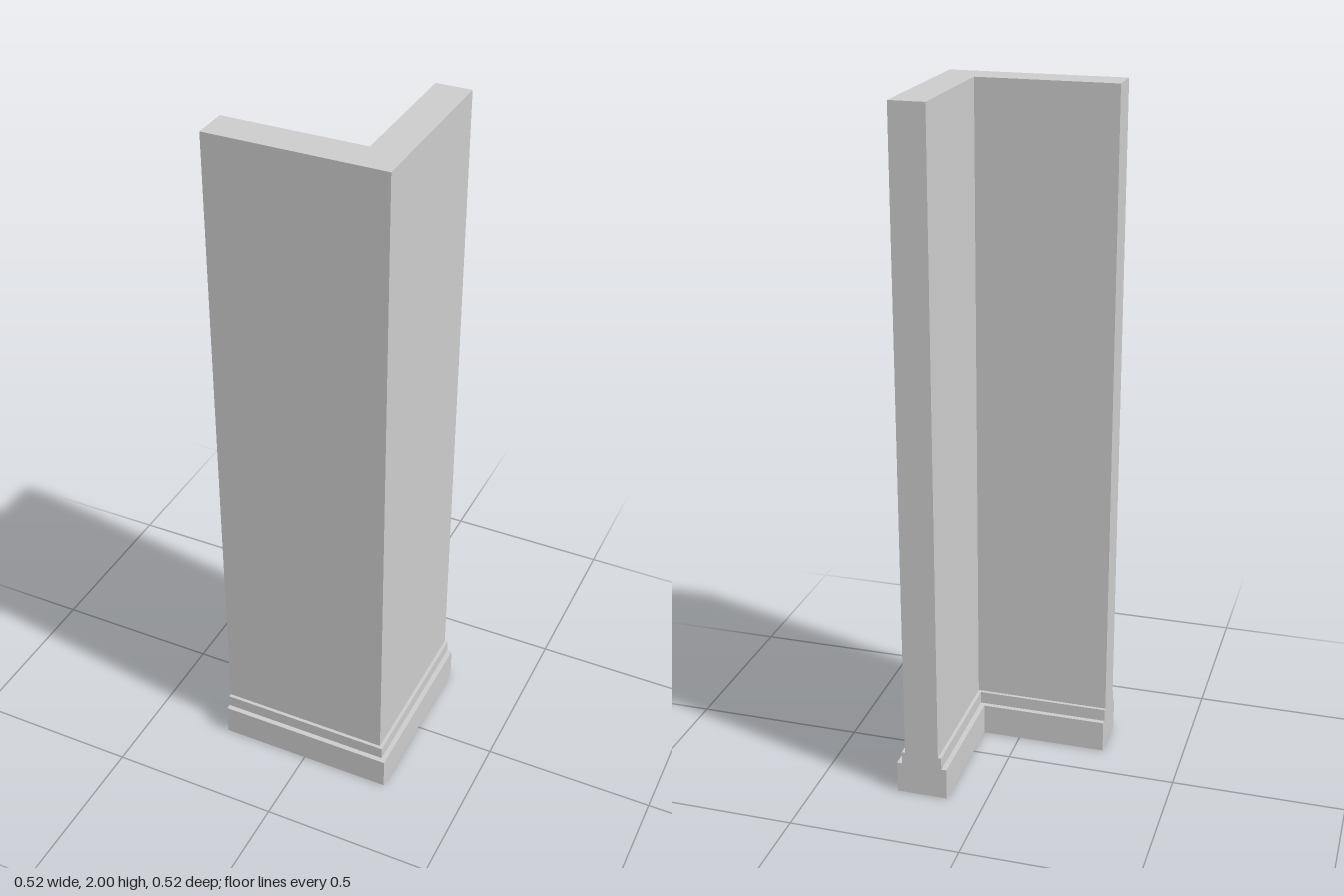
import * as THREE from 'three';

const END = -0.2625; // cut ends of both wings

// L-shaped outline at height y, counterclockwise seen from above
function outline(inner, outer, y) {
  return [
    [END, outer], [outer, outer], [outer, END],
    [inner, END], [inner, inner], [END, inner],
  ].map(([x, z]) => [x, y, z]);
}

export function createModel() {
  const group = new THREE.Group();
  group.name = 'cornerWall';
  const material = new THREE.MeshStandardMaterial({ color: 0xcccccc, flatShading: true });

  // Tiers from the floor up: inner face, outer face, bottom, top
  const tiers = [
    { name: 'plinth', inner: 0.1125, outer: 0.2625, y0: 0, y1: 0.095 },
    { name: 'baseMoulding', inner: 0.1275, outer: 0.2475, y0: 0.095, y1: 0.132 },
    { name: 'wall', inner: 0.1375, outer: 0.2375, y0: 0.132, y1: 2 },
  ];

  tiers.forEach((t, i) => {
    const pos = [];
    const quad = (a, b, c, d) => pos.push(...a, ...b, ...c, ...a, ...c, ...d);
    const low = outline(t.inner, t.outer, t.y0);
    const high = outline(t.inner, t.outer, t.y1);
    const next = tiers[i + 1];
    const ledge = next && outline(next.inner, next.outer, t.y1);

    for (let k = 0; k < 6; k++) {
      const n = (k + 1) % 6;
      quad(low[k], low[n], high[n], high[k]); // upright face
      // Ledge up to the next tier; the cut ends are flush and have none
      if (ledge && k % 3 !== 2) quad(high[k], high[n], ledge[n], ledge[k]);
    }
    // Mitred caps close the underside and the top
    const cap = (p) => { quad(p[0], p[1], p[4], p[5]); quad(p[1], p[2], p[3], p[4]); };
    if (i === 0) {
      quad(low[5], low[4], low[1], low[0]);
      quad(low[4], low[3], low[2], low[1]);
    }
    if (!next) cap(high);

    const geometry = new THREE.BufferGeometry();
    geometry.setAttribute('position', new THREE.Float32BufferAttribute(pos, 3));
    geometry.computeVertexNormals();
    const mesh = new THREE.Mesh(geometry, material);
    mesh.name = t.name;
    group.add(mesh);
  });

  return group;
}
